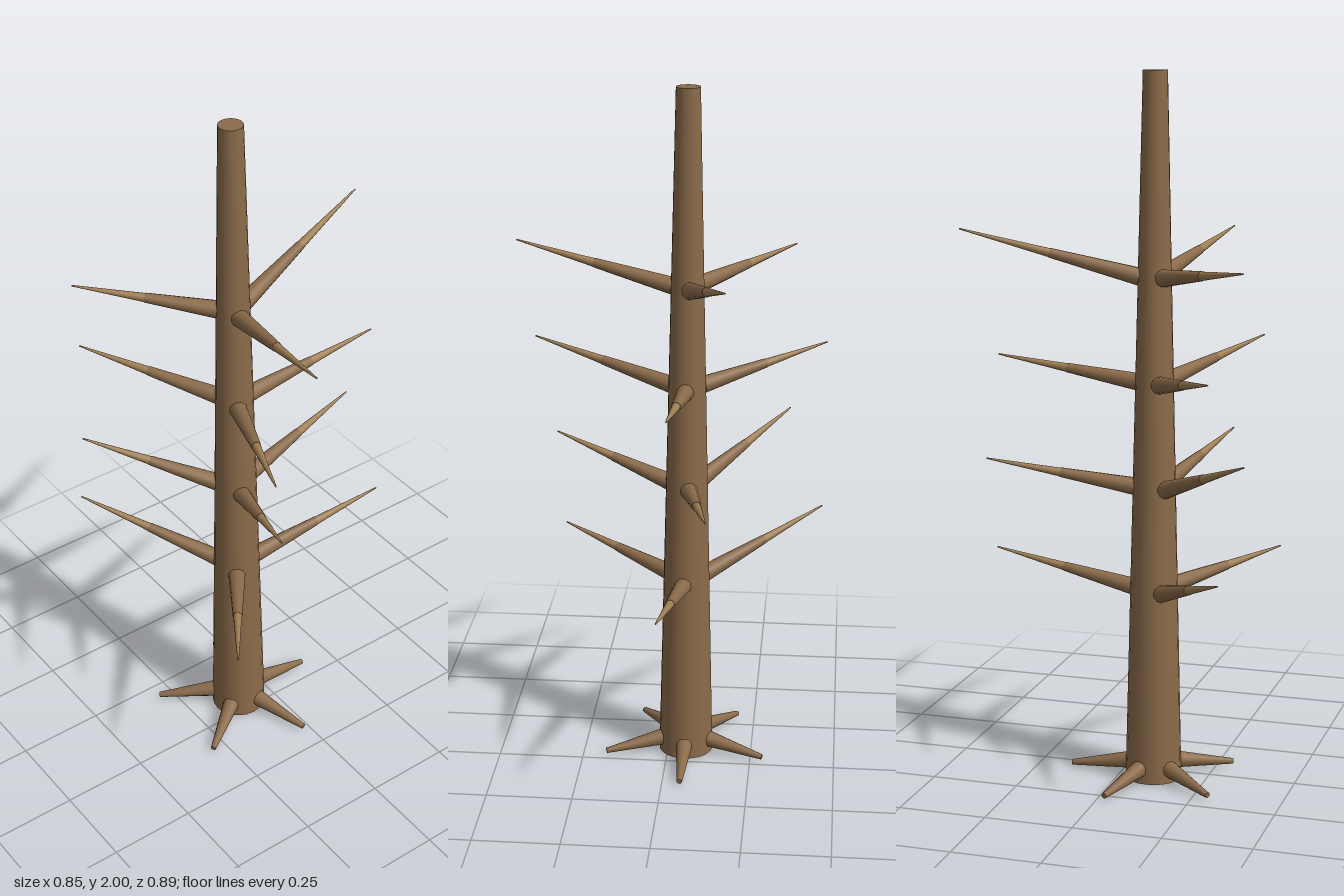
import * as THREE from 'three';

const BARK = new THREE.MeshStandardMaterial({ color: 0x8b6b4a });
const TWIG = new THREE.MeshStandardMaterial({ color: 0xa08055 });

const AXIS_X = -0.098, AXIS_Z = -0.053;
const TRUNK = { height: 2, bottom: 0.08, top: 0.034 };
const trunkRadius = (y) => THREE.MathUtils.lerp(TRUNK.bottom, TRUNK.top, y / TRUNK.height);

// Tapered limb running from point a to point b
function limb(name, a, b, ra, rb, material, sides = 12) {
  const dir = b.clone().sub(a);
  const mesh = new THREE.Mesh(new THREE.CylinderGeometry(rb, ra, dir.length(), sides), material);
  mesh.position.copy(a).add(b).multiplyScalar(0.5);
  mesh.quaternion.setFromUnitVectors(new THREE.Vector3(0, 1, 0), dir.normalize());
  mesh.name = name;
  return mesh;
}

// Point at a given distance and heading from the trunk axis
const around = (angle, r, y) =>
  new THREE.Vector3(AXIS_X + Math.cos(angle) * r, y, AXIS_Z + Math.sin(angle) * r);

// Branch with a thick inner half and a pale, pointed outer half
function branch(baseY, x, y, z) {
  const group = new THREE.Group();
  group.name = 'branch';
  const tip = new THREE.Vector3(x, y, z);
  const angle = Math.atan2(z - AXIS_Z, x - AXIS_X);
  const start = around(angle, trunkRadius(baseY) * 0.9, baseY);
  const middle = start.clone().lerp(tip, 0.5);
  group.add(limb('branchBase', start, middle, 0.025, 0.0135, BARK));
  group.add(limb('twig', middle, tip, 0.0125, 0.002, TWIG));
  return group;
}

export function createModel() {
  const model = new THREE.Group();
  model.name = 'bareTree';

  // Trunk
  model.add(limb('trunk', around(0, 0, 0), around(0, 0, TRUNK.height),
    TRUNK.bottom, TRUNK.top, BARK, 20));

  // Five roots spread evenly around the foot
  for (let i = 0; i < 5; i++) {
    const angle = (i / 5) * Math.PI * 2;
    model.add(limb('root', around(angle, 0.055, 0.043), around(angle, 0.245, 0.014),
      0.026, 0.008, BARK));
  }

  // Four whorls of three branches, listed by tip position
  const whorls = [
    [[0.39, 0.63, -0.007], [-0.383, 0.685, -0.443], [-0.375, 0.607, 0.338]],
    [[0.37, 0.92, -0.138], [-0.425, 0.982, -0.34], [-0.228, 0.955, 0.34]],
    [[0.37, 1.202, -0.033], [-0.353, 1.213, -0.445], [-0.3, 1.225, 0.41]],
    [[0.423, 1.57, -0.188], [-0.42, 1.49, -0.348], [-0.198, 1.54, 0.443]],
  ];
  whorls.forEach((tips, i) => {
    for (const tip of tips) model.add(branch(0.555 + i * 0.295, ...tip));
  });

  return model;
}
